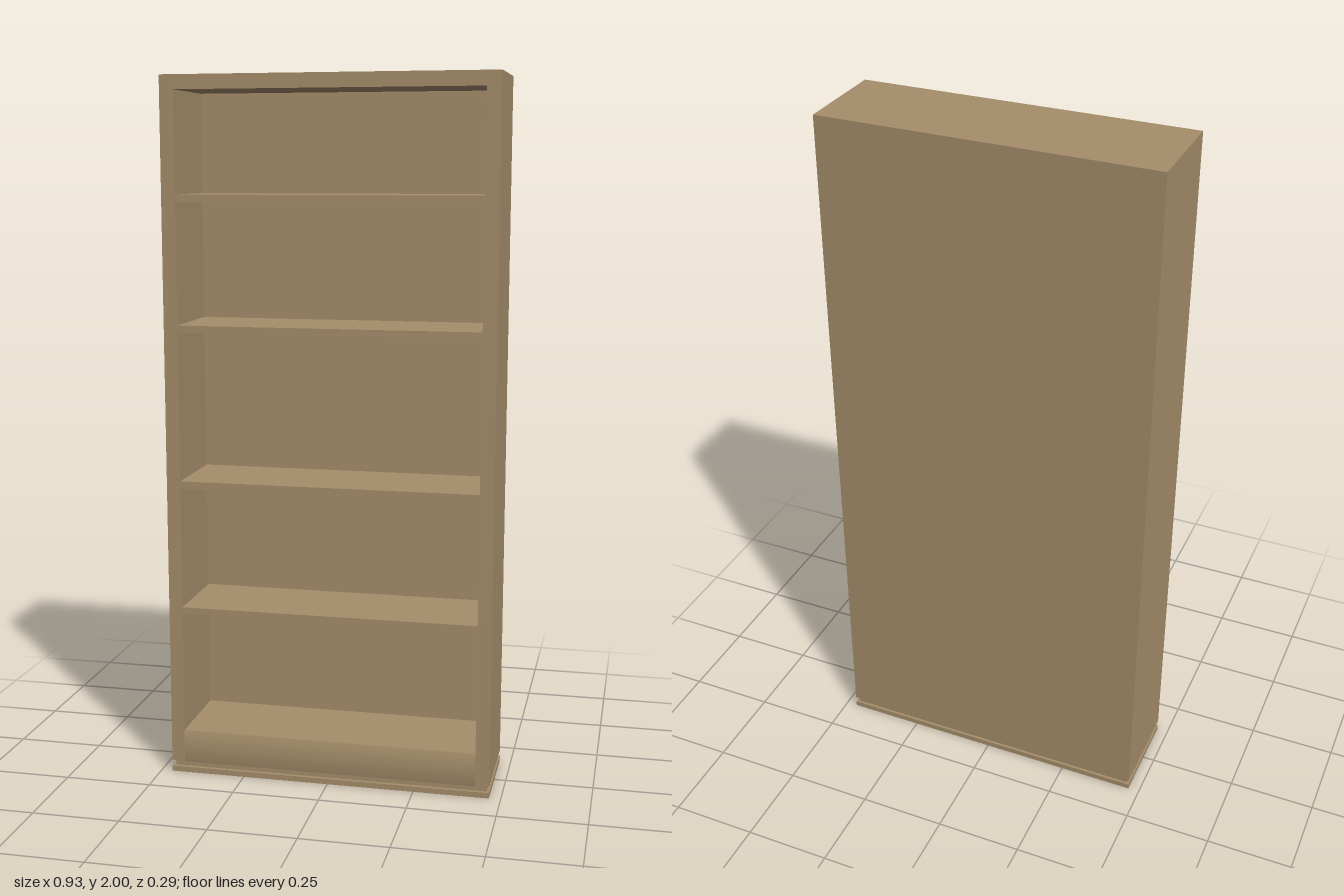
import * as THREE from 'three';

export function createModel() {
  const model = new THREE.Group();
  model.name = 'bookcase';

  const wood = new THREE.MeshStandardMaterial({ color: 0xa68e6b });
  wood.name = 'light brown wood';

  // Box given by its minimum and maximum on each axis
  const box = (name, [x0, x1], [y0, y1], [z0, z1]) => {
    const mesh = new THREE.Mesh(new THREE.BoxGeometry(x1 - x0, y1 - y0, z1 - z0), wood);
    mesh.position.set((x0 + x1) / 2, (y0 + y1) / 2, (z0 + z1) / 2);
    mesh.name = name;
    model.add(mesh);
  };

  const W = 0.467, inner = 0.427;
  const back = -0.144, front = 0.137, backInner = -0.115;
  const bottom = 0.034;

  // Carcass
  box('leftSide', [inner, W], [bottom, 2], [back, front]);
  box('rightSide', [-W, -inner], [bottom, 2], [back, front]);
  box('backPanel', [-inner, inner], [bottom, 2], [back, backInner]);
  box('topPanel', [-inner, inner], [1.96, 2], [backInner, front]);
  box('bottomPanel', [-inner, inner], [bottom, 0.13], [backInner, front]);

  // Shelves, as lower and upper faces
  [[0.483, 0.502], [0.849, 0.873], [1.297, 1.317], [1.658, 1.678]].forEach((span, i) =>
    box(`shelf${i + 1}`, [-inner, inner], span, [backInner, front]));

  // Base plate with a recessed groove under the carcass
  box('basePlate', [-W, W], [0, 0.016], [back, front]);
  box('baseGroove', [-W + 0.008, W - 0.008], [0.016, bottom], [back + 0.008, front - 0.01]);

  // Kick panel with a gently bowed front
  const profile = new THREE.Shape();
  profile.moveTo(front - 0.004, bottom);
  profile.lineTo(front + 0.003, bottom);
  profile.quadraticCurveTo(front + 0.013, 0.085, front + 0.001, 0.13);
  profile.lineTo(front - 0.004, 0.13);
  const kick = new THREE.Mesh(
    new THREE.ExtrudeGeometry(profile, { depth: 2 * inner, bevelEnabled: false, curveSegments: 16 }),
    wood);
  kick.rotation.y = -Math.PI / 2;
  kick.position.x = inner;
  kick.name = 'kickPanel';
  model.add(kick);

  return model;
}
